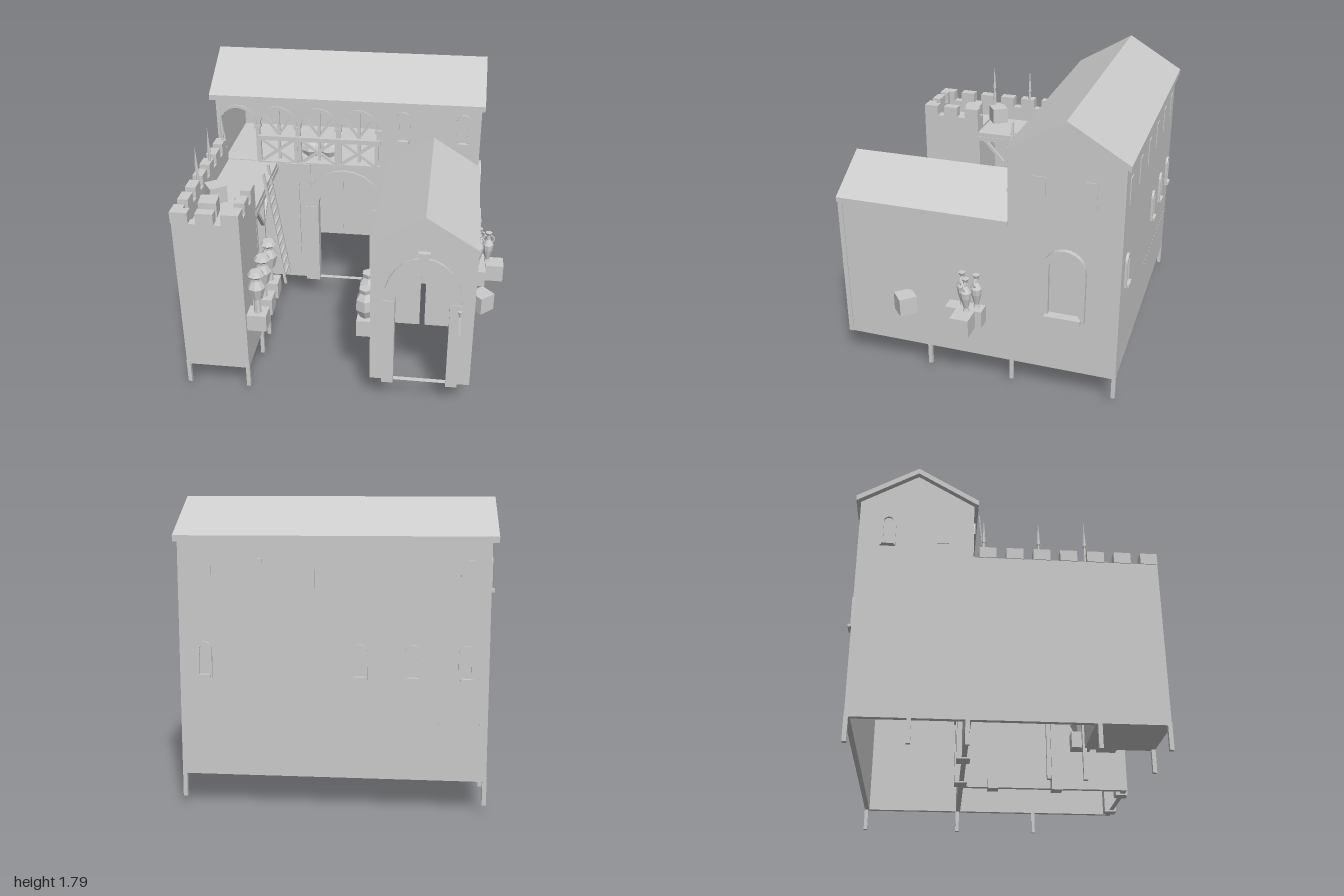
import * as THREE from 'three';

const mat = new THREE.MeshStandardMaterial({ color: 0xcccccc, side: THREE.DoubleSide, flatShading: true });
const T = 0.03; // wall thickness

export function createModel() {
  const root = new THREE.Group();

  // ---- helpers ----
  const add = (name, geo, x = 0, y = 0, z = 0, parent = root) => {
    const m = new THREE.Mesh(geo, mat);
    m.name = name;
    m.position.set(x, y, z);
    parent.add(m);
    return m;
  };
  // box given by its min and max on each axis
  const box = (name, x0, x1, y0, y1, z0, z1, parent = root) =>
    add(name, new THREE.BoxGeometry(x1 - x0, y1 - y0, z1 - z0), (x0 + x1) / 2, (y0 + y1) / 2, (z0 + z1) / 2, parent);
  // square bar between two points
  const bar = (name, a, b, w, parent = root) => {
    const p = new THREE.Vector3(...a), q = new THREE.Vector3(...b);
    const m = add(name, new THREE.BoxGeometry(w, p.distanceTo(q), w), 0, 0, 0, parent);
    m.position.lerpVectors(p, q, 0.5);
    m.quaternion.setFromUnitVectors(new THREE.Vector3(0, 1, 0), q.sub(p).normalize());
    return m;
  };
  // group whose local +z points out of a facade
  const facade = (name, turn, x, z) => {
    const g = new THREE.Group();
    g.name = name;
    g.rotation.y = turn * Math.PI / 2;
    g.position.set(x, 0, z);
    root.add(g);
    return g;
  };
  const poly = pts => new THREE.Shape(pts.map(p => new THREE.Vector2(...p)));
  const rect = (x0, x1, y0, y1) => poly([[x0, y0], [x1, y0], [x1, y1], [x0, y1]]);
  const curve = (cx, r, y, rise, n = 12) => Array.from({ length: n + 1 }, (_, i) =>
    [cx + r * Math.cos(Math.PI * i / n), y + rise * Math.sin(Math.PI * i / n)]);
  const archShape = (cx, r, y0, spring, rise) =>
    poly([[cx - r, y0], [cx + r, y0], ...curve(cx, r, spring, rise)]);
  // extruded slab, z0 to z0 + depth
  const slab = (name, shape, depth, z0, parent, holes = []) => {
    shape.holes.push(...holes);
    return add(name, new THREE.ExtrudeGeometry(shape, { depth, bevelEnabled: false }), 0, 0, z0, parent);
  };
  const archBand = (name, parent, cx, ro, ri, spring, riseO, riseI, z0, d) =>
    slab(name, poly([...curve(cx, ro, spring, riseO), ...curve(cx, ri, spring, riseI).reverse()]), d, z0, parent);
  const gateway = (parent, cx, ro, ri, riseO, riseI) => {
    archBand('gateArch', parent, cx, ro, ri, 0.79, riseO, riseI, -0.05, 0.065);
    for (const s of [-1, 1]) {
      const a = cx + s * ri, b = cx + s * ro;
      box('gatePillar', Math.min(a, b), Math.max(a, b), 0.19, 0.79, -0.06, 0.02, parent);
    }
  };
  // pair of hanging door leaves with a narrow gap
  const doorLeaves = (parent, cx, r, rise) => {
    for (const s of [-1, 1]) {
      const arc = curve(cx, r, 0.79, rise).filter(p => s * (p[0] - cx) > 0.02);
      const pts = [[cx + s * 0.015, 0.585], [cx + s * r, 0.585], ...(s > 0 ? arc : arc.reverse()), [cx + s * 0.015, 0.79 + rise]];
      slab('doorLeaf', poly(pts), 0.012, -0.07, parent);
    }
  };
  const archWindow = (parent, cx, y0, y1, half, w, d = 0.015) => {
    slab('windowFrame', archShape(cx, half, y0, y1 - half, half), d, 0, parent,
      [archShape(cx, half - w, y0 + w, y1 - half, half - w)]);
    slab('windowPane', archShape(cx, half - w, y0 + w, y1 - half, half - w), 0.003, 0, parent);
    box('windowSill', cx - half + w / 2, cx + half - w / 2, y0, y0 + w, 0, d * 2, parent);
  };
  const ventPanel = (parent, cx) => box('ventPanel', cx - 0.035, cx + 0.035, 1.3, 1.46, -0.005, 0.005, parent);
  const pot = (name, profile, segs, x, y, z) =>
    add(name, new THREE.LatheGeometry(profile.map(p => new THREE.Vector2(...p)), segs), x, y, z);
  const gableRoof = (name, half, eave, ridge, t, len, parent, cx, z0) =>
    slab(name, poly([[cx - half, eave - t], [cx, ridge - t], [cx + half, eave - t], [cx + half, eave], [cx, ridge], [cx - half, eave]]), len, z0, parent);

  // ---- main hall ----
  const front = facade('hallFront', 0, 0, -0.22);
  const back = facade('hallBack', 2, 0, -0.89);
  const right = facade('rightSide', 1, 0.795, 0);
  const left = facade('leftSide', -1, -0.965, 0);
  const bays = [-0.825, -0.555, -0.28, -0.01];
  slab('hallFrontWall', rect(-0.965, 0.795, 0.2, 1.57), T, -T, front, [
    archShape(-0.105, 0.18, 0.201, 0.79, 0.21),
    ...bays.map(x => archShape(x, 0.122, 1.12, 1.38, 0.13)),
  ]);
  slab('hallBackWall', rect(-0.795, 0.965, 0.2, 1.57), T, -T, back);
  const gable = c => poly([[c - 0.335, 0.2], [c + 0.335, 0.2], [c + 0.335, 1.57], [c, 1.77], [c - 0.335, 1.57]]);
  slab('hallRightGable', gable(0.555), T, -T, right);
  slab('hallLeftGable', gable(-0.555), T, -T, left);
  box('upperFloor', -0.95, 0.78, 1.08, 1.115, -0.87, -0.22);
  gableRoof('hallRoof', 0.36, 1.59, 1.805, 0.035, 1.815, facade('hallRoofGroup', 1, -1, 0), 0.555, 0);

  // main gate
  gateway(front, -0.105, 0.275, 0.18, 0.285, 0.21);
  doorLeaves(front, -0.105, 0.18, 0.21);

  // loggia arches, braces and crossed railing
  bays.forEach((x, i) => {
    archBand('loggiaArch', front, x, 0.135, 0.115, 1.38, 0.14, 0.12, -0.02, 0.03);
    box('loggiaCapital', x + 0.115, x + 0.16, 1.365, 1.385, -0.03, 0.018, front);
    if (i === 0) return;
    bar('bracePost', [x, 1.12, -0.05], [x, 1.51, -0.05], 0.018, front);
    for (const s of [-1, 1]) {
      bar('brace', [x, 1.3, -0.05], [x + s * 0.11, 1.45, -0.05], 0.016, front);
      bar('railCross', [x - s * 0.11, 1.125, 0.005], [x + s * 0.11, 1.285, 0.005], 0.018, front);
      box('railPost', x + s * 0.125 - 0.012, x + s * 0.125 + 0.012, 1.1, 1.3, -0.01, 0.015, front);
    }
  });
  box('railTop', -0.69, 0.14, 1.28, 1.31, -0.01, 0.018, front);
  box('railBottom', -0.69, 0.14, 1.1, 1.125, -0.01, 0.018, front);
  const jar = [[0, 0], [0.03, 0], [0.06, 0.05], [0.055, 0.09], [0.025, 0.12], [0.03, 0.14], [0, 0.14]];
  pot('lyingJar', jar, 8, -0.4, 1.19, -0.3).rotation.z = -Math.PI / 2;
  pot('lyingJar', jar, 8, -0.16, 1.19, -0.3).rotation.z = Math.PI / 2;

  // hall windows and vents
  for (const x of [0.29, 0.685]) archWindow(front, x, 1.305, 1.52, 0.045, 0.018);
  for (const x of [-0.65, 0.24, 0.54, 0.84]) archWindow(back, x, 0.78, 0.985, 0.045, 0.018);
  archWindow(left, -0.72, 1.27, 1.48, 0.045, 0.018);
  archWindow(right, 0.565, 0.565, 1.03, 0.127, 0.036, 0.03);
  for (let i = 0; i < 6; i++) ventPanel(back, -0.64 + i * 0.295);
  for (const z of [0.405, 0.7]) ventPanel(right, z);
  ventPanel(left, -0.4);
  for (let i = 0; i < 16; i++) box('wallPeg', 0.05 + i * 0.058, 0.056 + i * 0.058, 0.53, 0.536, 0, 0.005, back);

  // ---- right wing ----
  const wing = facade('wingFront', 0, 0, 0.86);
  slab('wingFrontWall', poly([[0.19, 0.2], [0.8, 0.2], [0.8, 1.13], [0.495, 1.32], [0.19, 1.13]]), T, -T, wing,
    [archShape(0.495, 0.16, 0.201, 0.79, 0.25)]);
  gateway(wing, 0.495, 0.23, 0.16, 0.3, 0.25);
  doorLeaves(wing, 0.495, 0.16, 0.25);
  slab('keystone', poly([[0.475, 1.035], [0.515, 1.035], [0.53, 1.13], [0.46, 1.13]]), 0.05, -0.02, wing);
  slab('wingOuterWall', rect(-0.86, 0.22, 0.2, 1.13), T, -T, right);
  const yard = facade('wingYardSide', -1, 0.19, 0);
  slab('wingYardWall', rect(-0.22, 0.86, 0.2, 1.13), T, -T, yard, [archShape(0.185, 0.175, 0.201, 0.79, 0.21)]);
  gateway(yard, 0.185, 0.245, 0.175, 0.285, 0.21);
  gableRoof('wingRoof', 0.31, 1.155, 1.35, 0.03, 1.085, root, 0.495, -0.22);
  bar('torch', [0.72, 0.6, 0.9], [0.715, 0.73, 0.88], 0.01);
  add('torchHead', new THREE.ConeGeometry(0.015, 0.05, 6), 0.715, 0.73, 0.885).rotation.x = Math.PI;

  // ---- left tower and wall walk ----
  box('tower', -0.965, -0.565, 0.2, 1.13, 0.45, 0.86);
  box('towerParapetFront', -0.965, -0.565, 1.13, 1.215, 0.8, 0.86);
  box('towerParapetBack', -0.68, -0.565, 1.13, 1.215, 0.45, 0.51);
  box('towerParapetYard', -0.63, -0.565, 1.13, 1.215, 0.45, 0.86);
  box('outerParapet', -0.965, -0.905, 1.1, 1.215, -0.22, 0.86);
  slab('walkOuterWall', rect(-0.22, 0.46, 0.2, 1.1), T, -T, left);
  box('walkDeck', -0.95, -0.565, 1.08, 1.115, -0.22, 0.45);
  for (const [a, b] of [[-0.965, -0.865], [-0.82, -0.715], [-0.67, -0.565]])
    box('frontMerlon', a, b, 1.215, 1.285, 0.8, 0.86);
  for (let i = 0; i < 7; i++) box('outerMerlon', -0.97, -0.905, 1.215, 1.285, 0.76 - i * 0.158, 0.86 - i * 0.158);
  for (const z of [0.45, 0.61, 0.76]) box('yardMerlon', -0.63, -0.565, 1.215, 1.285, z, z + 0.1);
  for (const [x, z, r] of [[-0.83, 0.38, 0.6], [-0.82, 0.575, 0.1]])
    add('crate', new THREE.BoxGeometry(0.11, 0.11, 0.11), x, 1.175, z).rotation.y = r;
  for (const z of [0.44, 0.165, -0.16]) {
    add('spearShaft', new THREE.CylinderGeometry(0.006, 0.012, 0.14, 6), -0.92, 1.285, z);
    add('spearTip', new THREE.ConeGeometry(0.012, 0.17, 6), -0.92, 1.43, z);
  }
  bar('leaningSpear', [-0.9, 1.28, -0.16], [-0.94, 1.52, -0.19], 0.008);

  // walk posts, braces and ladder
  for (const z of [0.45, 0.24]) box('walkPost', -0.587, -0.563, 0.01, 1.1, z - 0.012, z + 0.012);
  bar('walkBeam', [-0.575, 1.07, -0.22], [-0.575, 1.07, 0.45], 0.03);
  bar('walkBrace', [-0.575, 0.88, 0.24], [-0.575, 1.06, 0.06], 0.02);
  bar('walkBrace', [-0.575, 0.88, 0.24], [-0.575, 1.06, 0.4], 0.02);
  for (const z of [0.045, 0.185]) bar('ladderRail', [-0.57, 1.22, z], [-0.455, 0.4, z], 0.016);
  for (let i = 0; i < 10; i++) {
    const x = -0.463 - i * 0.0106, y = 0.46 + i * 0.0755;
    bar('ladderRung', [x, y, 0.03], [x, y, 0.2], 0.014);
  }

  // support legs
  for (const [x, z] of [[-0.955, 0.85], [-0.575, 0.85], [-0.955, 0.47], [-0.955, -0.24], [-0.955, -0.55], [-0.955, -0.88],
    [0.782, -0.88], [0.782, -0.24], [0.782, 0.3]]) box('leg', x - 0.012, x + 0.012, 0.06, 0.22, z - 0.012, z + 0.012);

  // sign on a pole in the yard
  box('signBoard', -0.49, -0.325, 1, 1.145, -0.15, -0.14);
  box('signPole', -0.417, -0.403, 0.45, 1, -0.152, -0.138);

  // ---- wall shelves and pottery ----
  const urn = [[0, 0], [0.025, 0], [0.018, 0.09], [0.035, 0.1], [0.055, 0.18], [0.03, 0.23], [0.03, 0.245], [0.052, 0.265], [0.035, 0.29], [0, 0.29]];
  for (const z of [0.425, 0.61, 0.785]) {
    box('urnShelf', -0.565, -0.445, 0.475, 0.585, z - 0.055, z + 0.055);
    pot('urn', urn, 8, -0.505, 0.585, z);
  }
  const bowl = [[0, 0], [0.035, 0], [0.065, 0.06], [0.06, 0.13], [0.035, 0.17], [0.042, 0.2], [0, 0.2]];
  for (const z of [0.555, 0.73]) {
    box('jarShelf', 0.1, 0.195, 0.46, 0.57, z - 0.065, z + 0.065);
    pot('wideJar', bowl, 6, 0.15, 0.57, z);
  }
  box('amphoraShelf', 0.795, 0.88, 0.455, 0.565, -0.08, 0.15);
  box('amphoraShelf', 0.88, 1, 0.455, 0.57, -0.04, 0.075);
  add('wallCrate', new THREE.BoxGeometry(0.11, 0.115, 0.11), 0.855, 0.527, 0.42).rotation.y = 0.75;
  const amphora = [[0, 0], [0.02, 0], [0.014, 0.02], [0.032, 0.09], [0.036, 0.13], [0.014, 0.17], [0.013, 0.2], [0.022, 0.22], [0, 0.22]];
  for (const [x, z] of [[0.825, 0.055], [0.83, -0.035], [0.89, 0.01]]) {
    pot('amphora', amphora, 10, x, 0.57, z);
    for (const s of [-1, 1])
      add('amphoraHandle', new THREE.TorusGeometry(0.026, 0.005, 5, 8, Math.PI), x + s * 0.012, 0.74, z).rotation.z = -s * Math.PI / 2;
  }
  return root;
}
